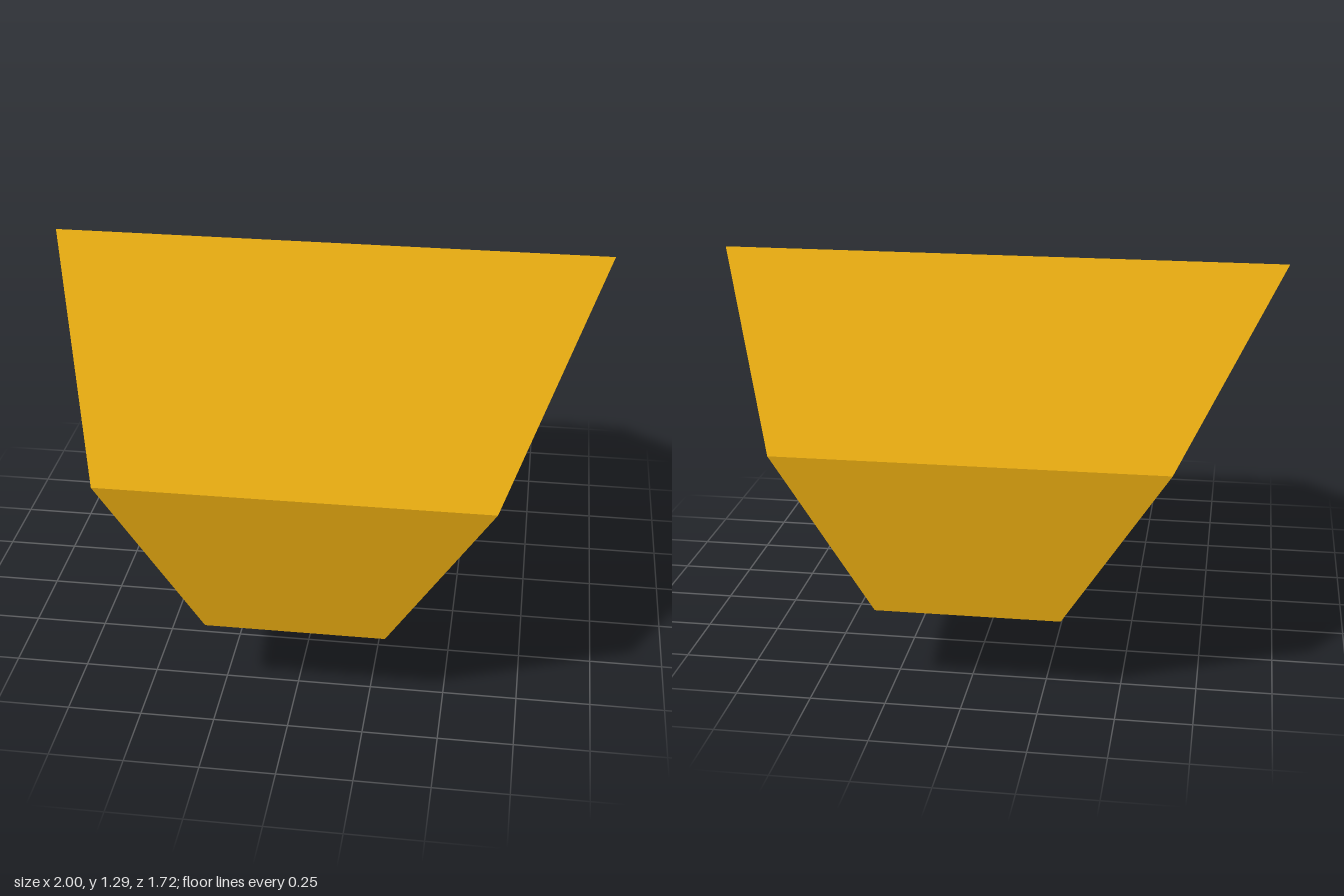
import * as THREE from 'three';

export function createModel() {
  const group = new THREE.Group();
  group.name = 'wedgeBlock';

  const gold = new THREE.MeshStandardMaterial({ color: 0xdea410 });
  gold.name = 'gold';

  // Hexagonal side outline as [z, y]
  const outline = [
    [-0.085, 1.295], [0.86, 0.785], [0.83, 0.26],
    [0.18, 0], [-0.86, 0.265], [-0.845, 0.78],
  ];
  const shape = new THREE.Shape(outline.map(([z, y]) => new THREE.Vector2(-z, y)));

  // Extrude across x, then flare the sides outward with height
  const geometry = new THREE.ExtrudeGeometry(shape, { depth: 2, bevelEnabled: false });
  geometry.translate(0, 0, -1);
  geometry.rotateY(Math.PI / 2);
  const pos = geometry.attributes.position;
  for (let i = 0; i < pos.count; i++) {
    pos.setX(i, Math.sign(pos.getX(i)) * (0.13 + 0.672 * pos.getY(i)));
  }
  geometry.computeVertexNormals(); // unshared corners keep every face flat

  const block = new THREE.Mesh(geometry, gold);
  block.name = 'flaredHexagonalBlock';
  group.add(block);
  return group;
}
